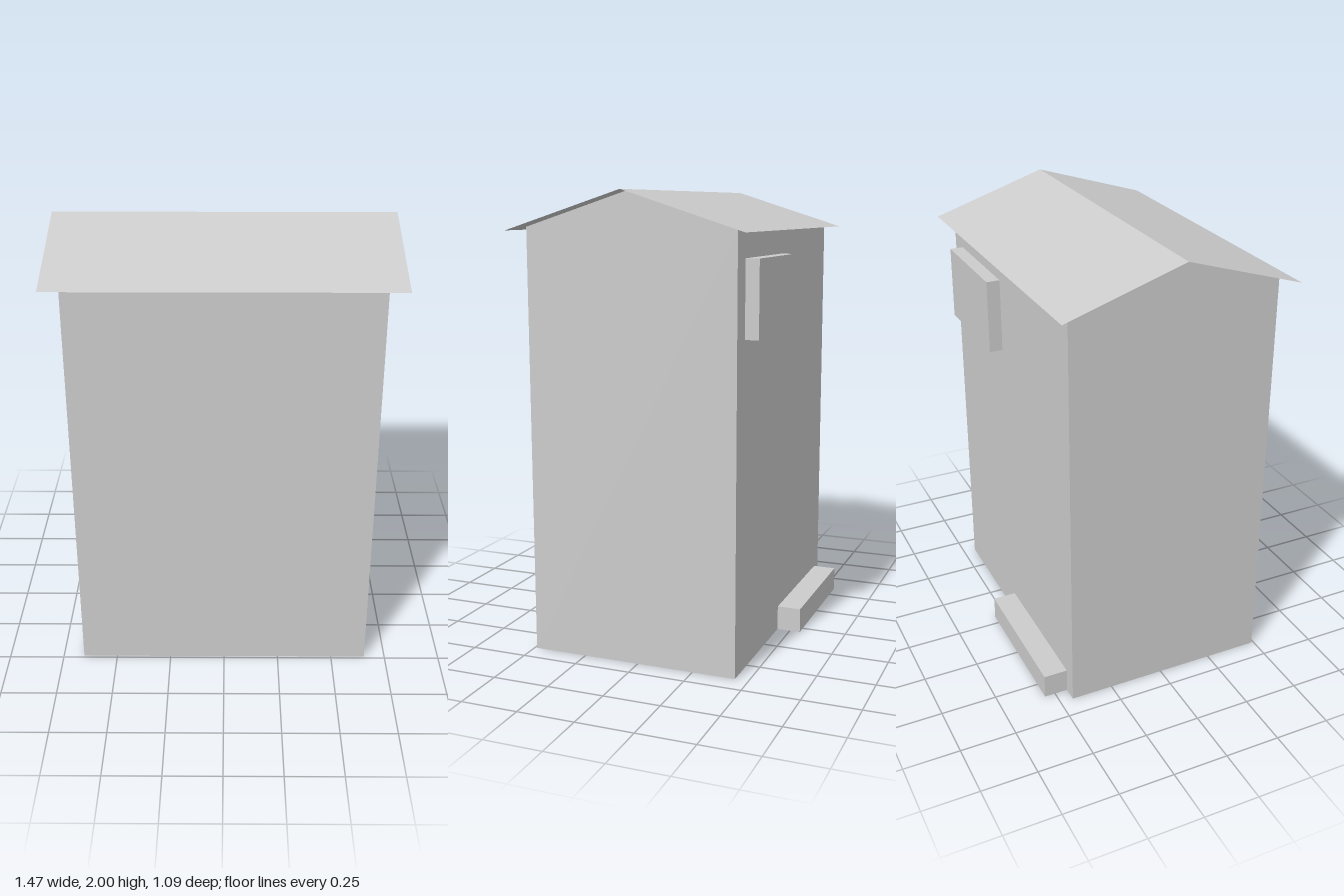
import * as THREE from 'three';

export function createModel() {
  const model = new THREE.Group();
  const grey = new THREE.MeshStandardMaterial({ color: 0xcccccc, side: THREE.DoubleSide });
  grey.name = 'plain grey';

  const add = (name, geometry) => {
    const mesh = new THREE.Mesh(geometry, grey);
    mesh.name = name;
    model.add(mesh);
  };
  // box given by its limits on each axis
  const box = ([x0, x1], [y0, y1], [z0, z1]) =>
    new THREE.BoxGeometry(x1 - x0, y1 - y0, z1 - z0)
      .translate((x0 + x1) / 2, (y0 + y1) / 2, (z0 + z1) / 2);

  const ridgeZ = 0.024, halfDepth = 0.465, halfWidth = 0.655;

  // walls with gable ends, extruded across the width
  const gable = new THREE.Shape([
    [-halfDepth, 0], [halfDepth, 0], [halfDepth, 1.849], [0, 1.997], [-halfDepth, 1.849],
  ].map(([s, y]) => new THREE.Vector2(s, y)));
  const walls = new THREE.ExtrudeGeometry(gable, { depth: 2 * halfWidth, bevelEnabled: false });
  walls.rotateY(Math.PI / 2).translate(-halfWidth, 0, ridgeZ);
  add('walls', walls);

  // two thin roof sheets meeting at the ridge
  const roofHalf = 0.733, eaveRun = 0.522, eaveY = 1.835;
  const slope = Math.hypot(eaveRun, 2 - eaveY);
  const pitch = Math.atan2(2 - eaveY, eaveRun);
  for (const side of [1, -1]) {
    const sheet = new THREE.PlaneGeometry(2 * roofHalf, slope);
    sheet.rotateX(-Math.PI / 2).translate(0, 0, side * slope / 2);
    sheet.rotateX(side * pitch).translate(0, 2, ridgeZ);
    add(side > 0 ? 'frontRoof' : 'backRoof', sheet);
  }

  // raised panel high on the back wall
  add('backPanel', box([0.075, 0.56], [1.405, 1.73], [-0.5, -0.44]));

  // doorstep on the back wall, open underneath
  const step = box([-0.59, 0.05], [0, 0.11], [-0.548, -0.44]);
  const faces = Array.from(step.index.array);
  faces.splice(18, 6);
  step.setIndex(faces);
  step.clearGroups();
  add('doorstep', step);

  return model;
}
